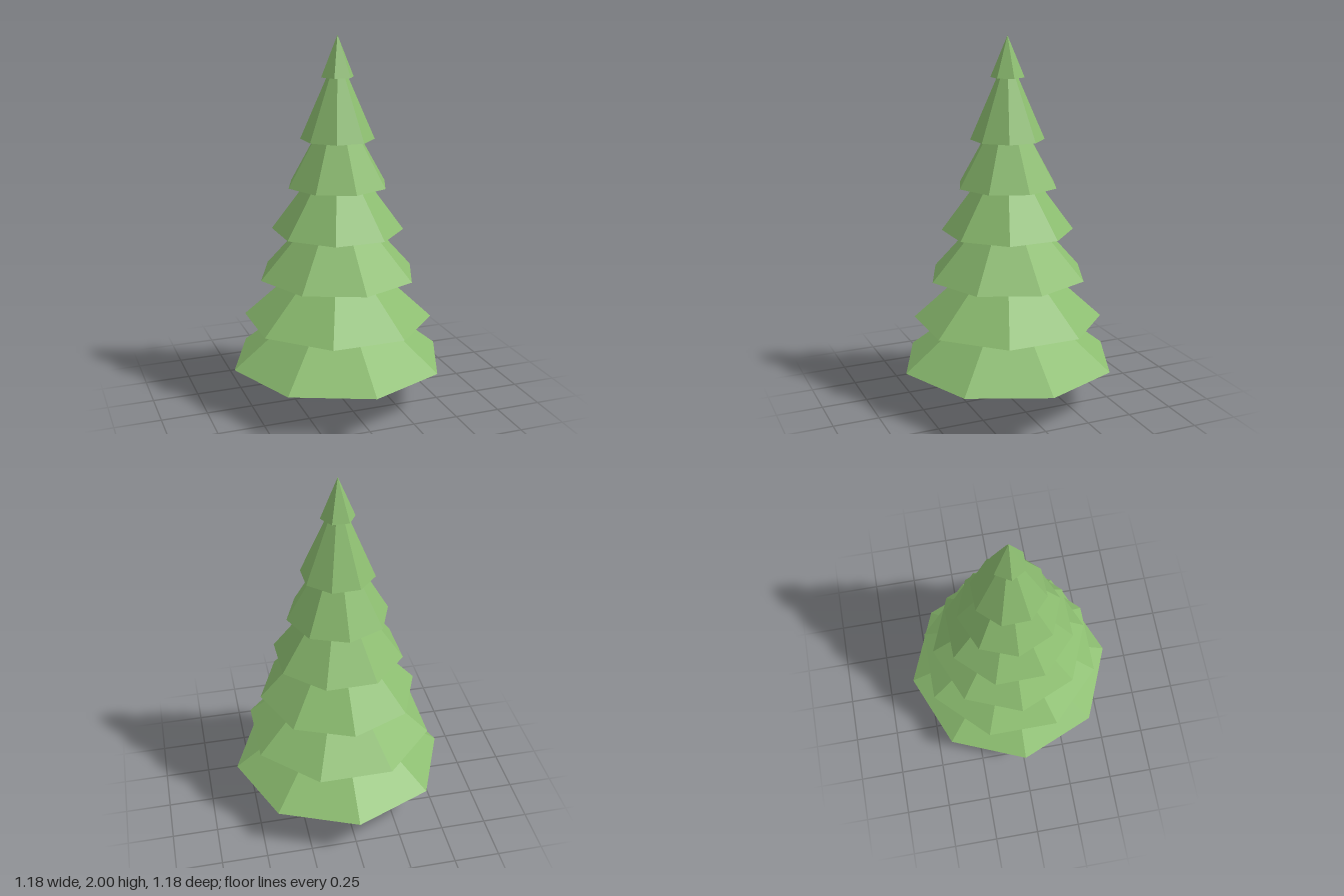
import * as THREE from 'three';

export function createModel() {
  const tree = new THREE.Group();
  tree.name = 'pineTree';

  const foliage = new THREE.MeshStandardMaterial({ color: 0x8cbd70, flatShading: true });
  foliage.name = 'foliageGreen';
  const bark = new THREE.MeshStandardMaterial({ color: 0x9f7860, flatShading: true });
  bark.name = 'barkBrown';

  // Trunk: tapered six-sided post with a corner on the x axis
  const trunkTop = 0.25;
  const trunk = new THREE.Mesh(new THREE.CylinderGeometry(0.041, 0.05, trunkTop, 6), bark);
  trunk.name = 'trunk';
  trunk.position.y = trunkTop / 2;
  trunk.rotation.y = Math.PI / 2;
  tree.add(trunk);

  // Foliage tiers, bottom to top: base height, apex height, radius, sides, turn in degrees
  const tiers = [
    [0.227, 0.696, 0.592, 8, 0],
    [0.472, 0.935, 0.514, 8, 22.2],
    [0.72, 1.2, 0.434, 8, -0.5],
    [0.968, 1.45, 0.355, 8, 21.3],
    [1.213, 1.69, 0.275, 8, -1.3],
    [1.46, 1.913, 0.197, 8, 20.5],
    [1.785, 2.0, 0.09, 6, 90],
  ];
  tiers.forEach(([base, apex, radius, sides, turn], i) => {
    const tier = new THREE.Mesh(new THREE.ConeGeometry(radius, apex - base, sides), foliage);
    tier.name = `foliageTier${i + 1}`;
    tier.position.y = (base + apex) / 2;
    tier.rotation.y = -THREE.MathUtils.degToRad(turn);
    tree.add(tier);
  });

  return tree;
}
